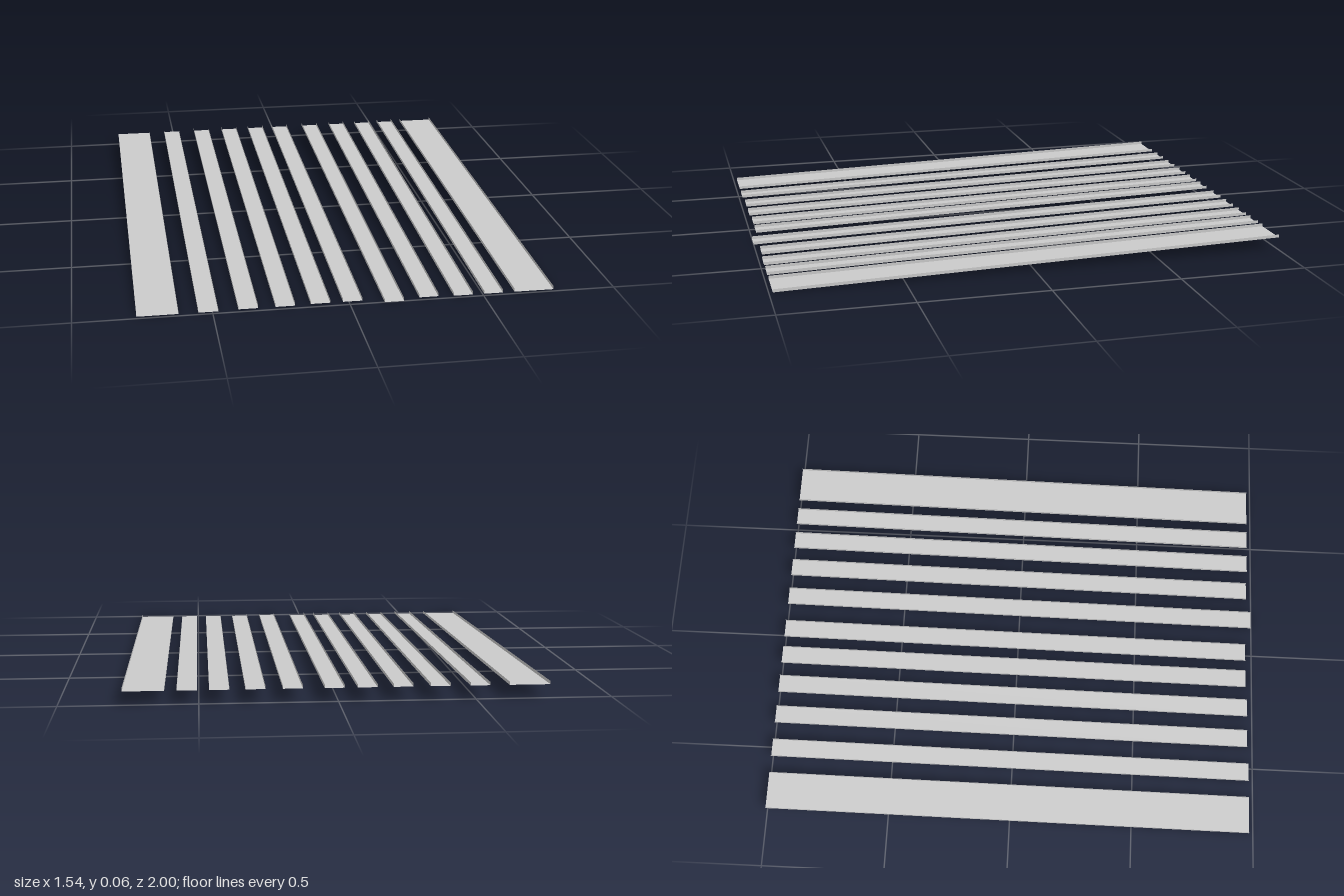
import * as THREE from 'three';

const BACK = -1, RISE = 0.05, LIP = 0.012;

const material = new THREE.MeshStandardMaterial({
  color: 0xcccccc, flatShading: true, side: THREE.DoubleSide,
});

// Thin sheet folded into an open channel: lip, floor, lip; it climbs toward the back.
function channel(name, x, width, front) {
  const h = width / 2;
  const profile = [[-h, LIP], [-h, 0], [h, 0], [h, LIP]];
  const sheet = new THREE.PlaneGeometry(1, 1, 3, 1);
  const pos = sheet.attributes.position;
  for (let i = 0; i < pos.count; i++) {
    const [px, py] = profile[i % 4];
    const z = i < 4 ? BACK : front;
    pos.setXYZ(i, x + px, py + RISE * (1 - z) / 2, z);
  }
  const geometry = sheet.toNonIndexed();
  geometry.computeVertexNormals();
  const mesh = new THREE.Mesh(geometry, material);
  mesh.name = name;
  return mesh;
}

export function createModel() {
  const group = new THREE.Group();
  group.name = 'slattedRamp';

  // Wide outer rails
  group.add(channel('rightRail', -0.697, 0.15, 0.985));
  group.add(channel('leftRail', 0.697, 0.15, 0.985));

  // Narrow slats: centre x and front end z
  const slats = [
    [-0.515, 0.985], [-0.37, 0.98], [-0.235, 0.98], [-0.105, 0.975], [0.014, 0.975],
    [0.164, 1], [0.298, 0.98], [0.427, 0.985], [0.542, 0.985],
  ];
  slats.forEach(([x, front], i) => group.add(channel(`slat${i + 1}`, x, 0.072, front)));
  return group;
}
